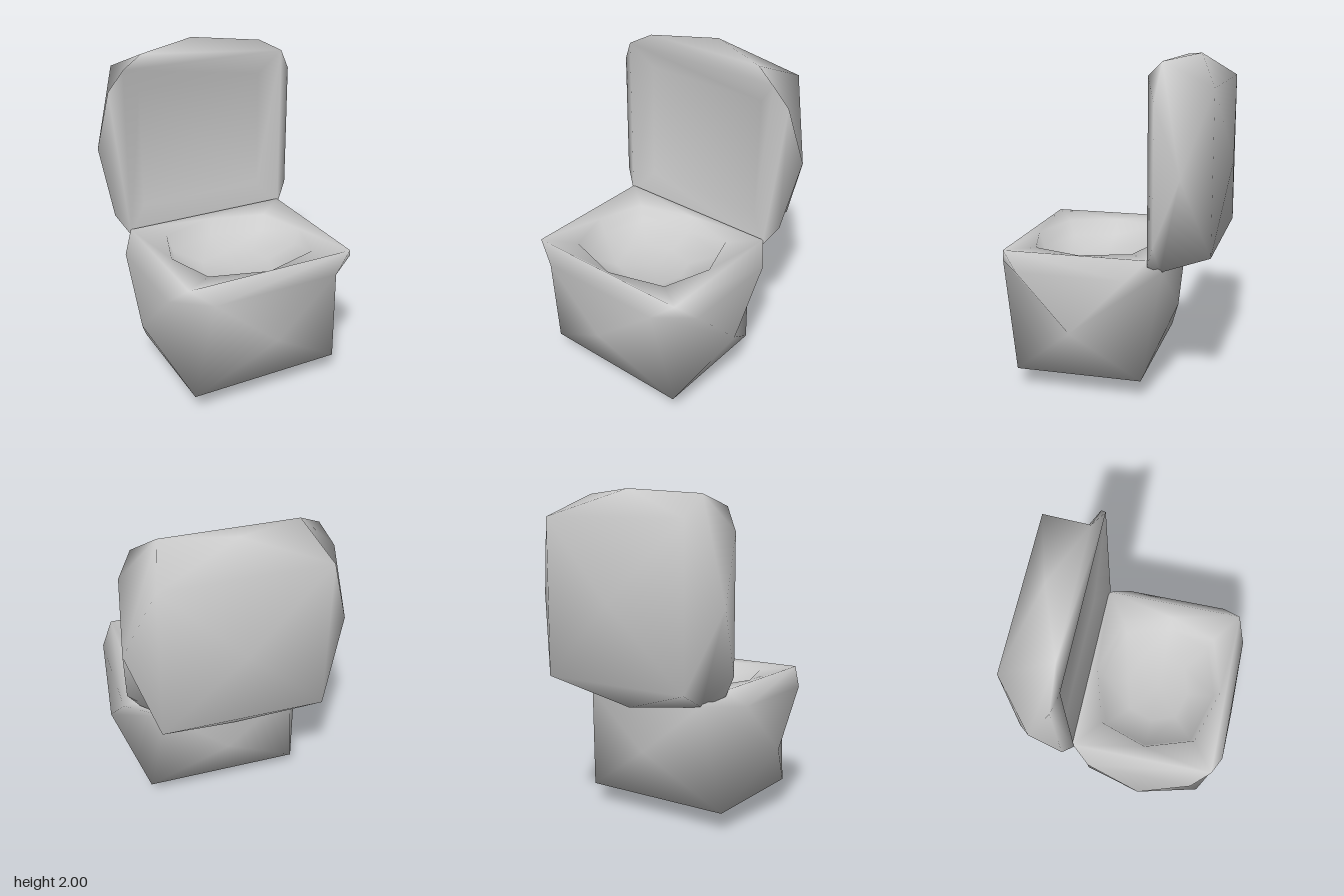
import * as THREE from 'three';
import { mergeVertices } from 'three/addons/utils/BufferGeometryUtils.js';

// Collects triangles, turning each away from (or towards) a reference point
function triangleList() {
  const pos = [];
  const add = (from, sign) => (...pts) => {
    const [a, b, c] = pts.map((p) => new THREE.Vector3(...p));
    const n = b.clone().sub(a).cross(c.clone().sub(a));
    const out = a.clone().add(b).add(c).divideScalar(3).sub(from);
    const order = n.dot(out) * sign > 0 ? [a, b, c] : [a, c, b];
    order.forEach((v) => pos.push(v.x, v.y, v.z));
  };
  return {
    outer: add(new THREE.Vector3(0, 0.44, 0), 1),
    inner: add(new THREE.Vector3(0, 1.6, 0), -1),
    build() {
      const g = new THREE.BufferGeometry();
      g.setAttribute('position', new THREE.Float32BufferAttribute(pos, 3));
      const merged = mergeVertices(g, 1e-4);
      merged.computeVertexNormals();
      return merged;
    },
  };
}

// Points of the faceted tub, shared by the body and the lid
const low = (x, z) => [x * 0.483, 0.115, z * 0.385];
const shoulderX = (x, z) => [x * 0.615, 0.77, z * 0.325];
const shoulderZ = (x, z) => [x * 0.4, 0.77, z * 0.492];
const rim = (x, z) => [x * 0.533, 0.875, z * 0.435];
const midX = (x) => [x * 0.65, 0.44, 0];
const midZ = (z) => [0, 0.44, z * 0.515];
const apex = [0, 0, 0];

// Outside: pointed underside, bulging sides, bevelled rim
function addShell({ outer }) {
  for (const s of [-1, 1]) {
    // faces across the symmetry planes
    outer(apex, low(s, -1), low(s, 1));
    outer(apex, low(-1, s), low(1, s));
    outer(midX(s), low(s, -1), low(s, 1));
    outer(midX(s), shoulderX(s, -1), shoulderX(s, 1));
    outer(midZ(s), low(-1, s), low(1, s));
    outer(midZ(s), shoulderZ(-1, s), shoulderZ(1, s));
    outer(shoulderX(s, -1), shoulderX(s, 1), rim(s, 1));
    outer(shoulderX(s, -1), rim(s, 1), rim(s, -1));
    outer(shoulderZ(-1, s), shoulderZ(1, s), rim(1, s));
    outer(shoulderZ(-1, s), rim(1, s), rim(-1, s));
    // corners
    for (const z of [-1, 1]) {
      outer(midX(s), shoulderX(s, z), shoulderZ(s, z));
      outer(midX(s), shoulderZ(s, z), low(s, z));
      outer(midZ(z), shoulderZ(s, z), low(s, z));
      outer(rim(s, z), shoulderX(s, z), shoulderZ(s, z));
    }
  }
}

// The four corner signs, in order around the rim
const corners = [[1, 1], [-1, 1], [-1, -1], [1, -1]];

// Eight-sided bowl sunk into the top
function addBowl({ inner }) {
  const ring = (i, [k, y]) => {
    const a = (i * Math.PI) / 4;
    const [rx, rz] = i % 2 ? [0.49, 0.42] : [0.445, 0.4];
    return [Math.cos(a) * rx * k, y, Math.sin(a) * rz * k];
  };
  const corner = (i) => rim(...corners[(i + 4) % 4]);
  const levels = [[1, 0.85], [0.92, 0.75], [0.5, 0.69]];
  for (let i = 0; i < 8; i++) {
    const c = corner(Math.floor(i / 2));
    inner(c, ring(i, levels[0]), ring(i + 1, levels[0]));
    if (i % 2 === 0) inner(c, corner(i / 2 - 1), ring(i, levels[0]));
    for (let j = 0; j < 2; j++) {
      const [u, l] = [levels[j], levels[j + 1]];
      inner(ring(i, u), ring(i + 1, u), ring(i, l));
      inner(ring(i + 1, u), ring(i + 1, l), ring(i, l));
    }
    inner(ring(i, levels[2]), ring(i + 1, levels[2]), [0, 0.68, 0]);
  }
}

// Square recess for the inside of the lid
function addRecess({ inner }) {
  const panel = (x, z) => [x * 0.41, 0.71, z * 0.31];
  corners.forEach((a, i) => {
    const b = corners[(i + 1) % 4];
    inner(rim(...a), rim(...b), panel(...b));
    inner(rim(...a), panel(...b), panel(...a));
    inner(panel(...a), panel(...b), [0, 0.7, 0]);
  });
}

function makePart(name, addInside) {
  const tris = triangleList();
  addShell(tris);
  addInside(tris);
  const material = new THREE.MeshStandardMaterial({ color: 0xcccccc });
  const mesh = new THREE.Mesh(tris.build(), material);
  mesh.name = name;
  return mesh;
}

export function createModel() {
  const group = new THREE.Group();
  group.name = 'openTub';

  const body = makePart('body', addBowl);
  body.position.z = 0.165;

  // Lid: the same tub, flattened and stood upright behind the body
  const lid = makePart('lid', addRecess);
  lid.scale.set(1, 0.463, 1.223);
  lid.rotation.x = Math.PI / 2;
  lid.position.set(0, 1.37, -0.67);

  group.add(body, lid);
  return group;
}
